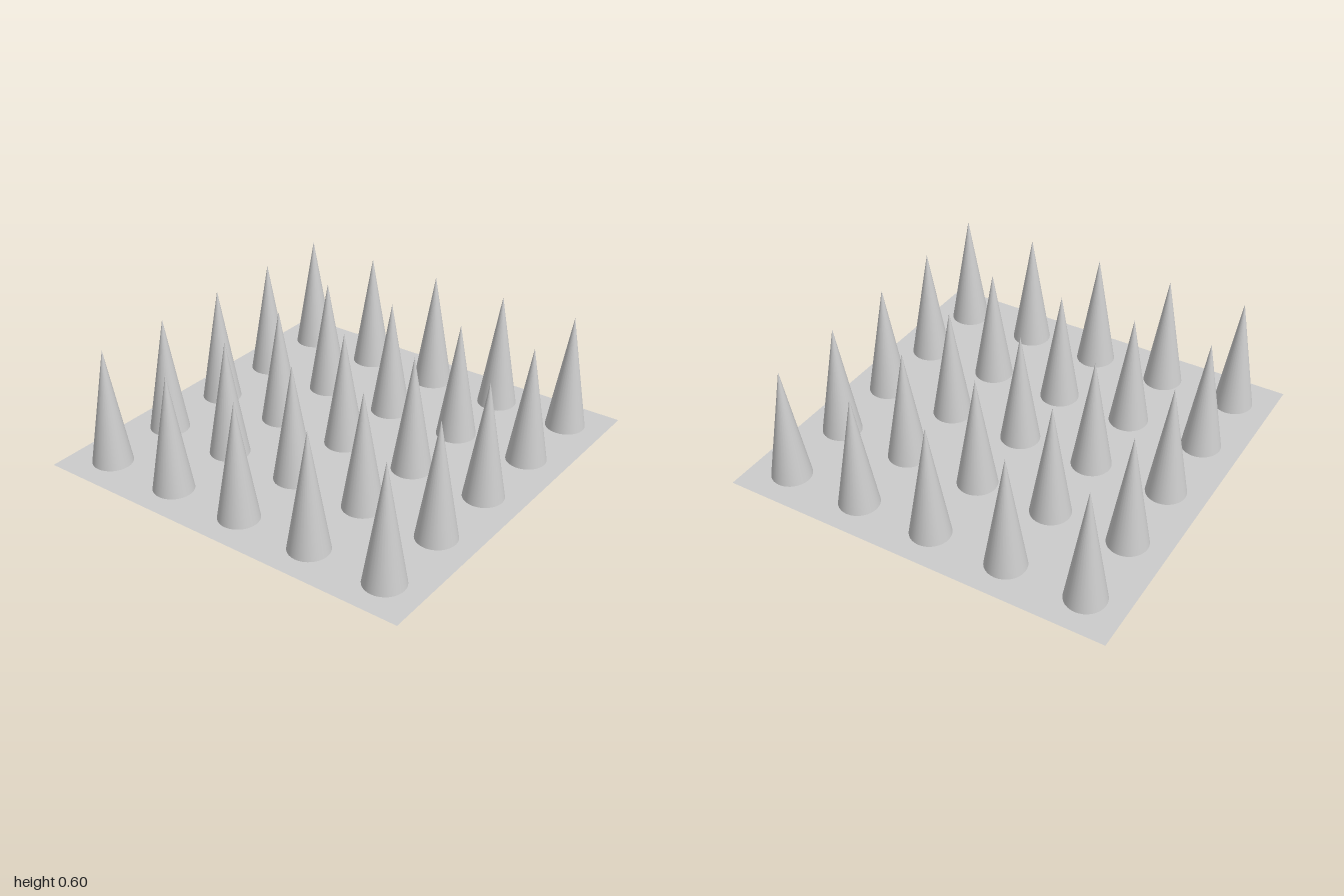
import * as THREE from 'three';

export function createModel() {
  const group = new THREE.Group();
  const coneMaterial = new THREE.MeshStandardMaterial({ color: 0xcccccc });
  const sheetMaterial = new THREE.MeshStandardMaterial({ color: 0xcccccc, side: THREE.DoubleSide });

  // Thin square base, lying flat
  const base = new THREE.Mesh(new THREE.PlaneGeometry(2, 2).rotateX(-Math.PI / 2), sheetMaterial);
  base.name = 'base';
  group.add(base);

  // Five by five grid of spikes; the base closes their undersides
  const count = 5, spacing = 0.4, radius = 0.1, height = 0.6;
  const spikeGeometry = new THREE.ConeGeometry(radius, height, 32, 1, true).translate(0, height / 2, 0);
  const spikes = new THREE.Group();
  spikes.name = 'spikes';
  for (let row = 0; row < count; row++) {
    for (let col = 0; col < count; col++) {
      const spike = new THREE.Mesh(spikeGeometry, coneMaterial);
      spike.name = `spike_${row + 1}_${col + 1}`;
      spike.position.set((col - (count - 1) / 2) * spacing, 0, (row - (count - 1) / 2) * spacing);
      spikes.add(spike);
    }
  }
  group.add(spikes);

  return group;
}
